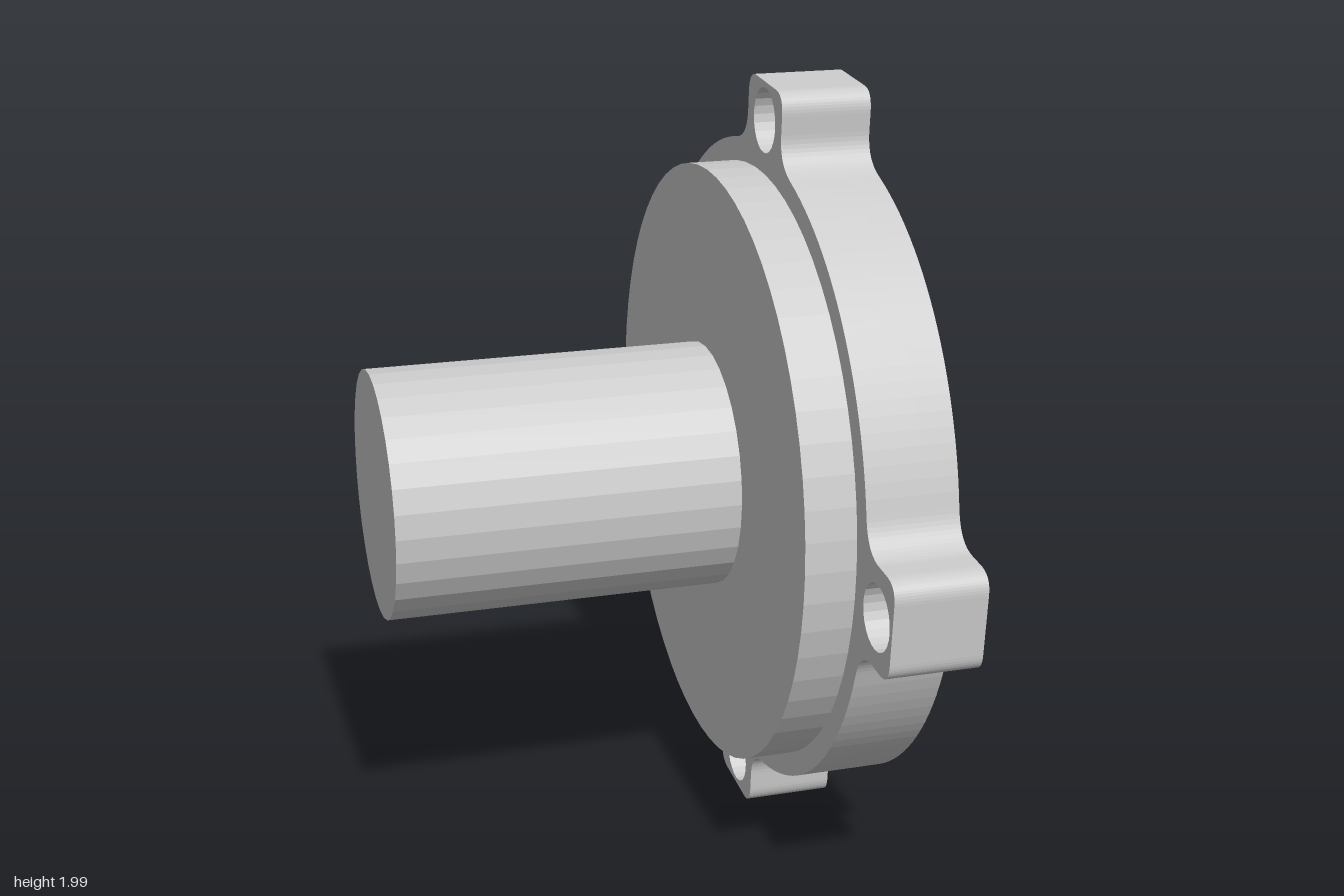
import * as THREE from 'three';

const mat = new THREE.MeshStandardMaterial({ color: 0xcccccc, flatShading: true, side: THREE.DoubleSide });
const RAD = Math.PI / 180;
const BACK = 0.29, FACE = 0.515, STEP = 0.43; // flange depth levels
const TILT = 4 * RAD;

function add(parent, name, geometry, x = 0, y = 0, z = 0) {
  const mesh = new THREE.Mesh(geometry, mat);
  mesh.name = name;
  mesh.position.set(x, y, z);
  parent.add(mesh);
  return mesh;
}

function extrude(shape, depth, curveSegments = 12) {
  return new THREE.ExtrudeGeometry(shape, { depth, bevelEnabled: false, curveSegments });
}

// Lathe turned so that its axis runs along local z
function lathe(points, segments = 32) {
  return new THREE.LatheGeometry(points.map(p => new THREE.Vector2(...p)), segments).rotateX(Math.PI / 2);
}

function rod(radius, from, to, segments) {
  return new THREE.CylinderGeometry(radius, radius, to - from, segments)
    .rotateX(Math.PI / 2).translate(0, 0, (from + to) / 2);
}

function circle(x, y, r) {
  const p = new THREE.Path();
  p.absarc(x, y, r, 0, Math.PI * 2);
  return p;
}

// Closed path from a radius rule r(angle)
function polar(Type, rule, n, cx = 0, cy = 0) {
  const pts = [];
  for (let i = 0; i < n; i++) {
    const a = i / n * Math.PI * 2, r = rule(a);
    pts.push(new THREE.Vector2(cx + r * Math.cos(a), cy + r * Math.sin(a)));
  }
  return new Type(pts);
}

const SCREWS = [[-0.13, 0.155], [0.1, 0.175], [0.19, -0.04], [-0.01, -0.2], [-0.185, -0.07]];

// Round pocket with a lobe around each screw
function pocketRadius(a) {
  let r = 0.25;
  for (const [x, y] of SCREWS) {
    const along = x * Math.cos(a) + y * Math.sin(a);
    const across = y * Math.cos(a) - x * Math.sin(a);
    if (along > 0 && Math.abs(across) < 0.1) r = Math.max(r, along + Math.sqrt(0.01 - across * across));
  }
  return r;
}

// Disc outline with four filleted ears and a small locating nub
function flangeShape(earHole) {
  const s = new THREE.Shape(), R = 0.83, spread = 0.25;
  for (let k = 0; k < 4; k++) {
    const a = TILT + k * Math.PI / 2;
    const at = (r, t) => [r * Math.cos(a) - t * Math.sin(a), r * Math.sin(a) + t * Math.cos(a)];
    const foot = [R * Math.cos(spread), R * Math.sin(spread)];
    if (k === 0) s.moveTo(...at(foot[0], -foot[1]));
    s.quadraticCurveTo(...at(0.824, -0.125), ...at(0.895, -0.125));
    s.lineTo(...at(0.94, -0.125));
    s.quadraticCurveTo(...at(0.994, -0.125), ...at(0.994, -0.075));
    s.lineTo(...at(0.994, 0.075));
    s.quadraticCurveTo(...at(0.994, 0.125), ...at(0.94, 0.125));
    s.lineTo(...at(0.895, 0.125));
    s.quadraticCurveTo(...at(0.824, 0.125), ...at(...foot));
    const from = a + spread, to = a + Math.PI / 2 - spread;
    if (k === 3) {
      s.absarc(0, 0, R, from, 299 * RAD);
      s.lineTo(0.425, -0.722);
      s.lineTo(0.455, -0.735);
      s.lineTo(0.525, -0.69);
      s.lineTo(0.52, -0.655);
      s.absarc(0, 0, R, 309 * RAD, to);
    } else s.absarc(0, 0, R, from, to);
    s.holes.push(circle(...at(0.9, 0), earHole));
  }
  s.holes.push(polar(THREE.Path, pocketRadius, 120));
  return s;
}

// Keyhole recess: round seat with a narrow slot running outwards
function keyhole() {
  const p = new THREE.Path(), w = 0.033, r = 0.07, b = Math.asin(w / r);
  const cx = -0.495, cy = -0.225, end = -0.675, ey = -0.237;
  p.absarc(cx, cy, r, -Math.PI + b, Math.PI - b);
  p.lineTo(end, ey + w);
  p.absarc(end, ey, w, Math.PI / 2, Math.PI * 1.5);
  return p;
}

// Domed screw with a six-lobed socket
function screw() {
  const g = new THREE.Group();
  add(g, 'screwDome', lathe([[0.09, 0], [0.09, 0.012], [0.083, 0.034], [0.069, 0.049], [0.05, 0.058]], 24));
  const cap = polar(THREE.Shape, () => 0.05, 24);
  cap.holes.push(polar(THREE.Path, a => 0.035 + 0.008 * Math.cos(6 * a), 36));
  add(g, 'screwSocket', extrude(cap, 0.03), 0, 0, 0.028);
  add(g, 'socketFloor', rod(0.049, 0, 0.03, 24));
  return g;
}

export function createModel() {
  const model = new THREE.Group();
  model.name = 'motorFlange';
  // Local frame: z points along the motor axis
  const body = new THREE.Group();
  body.name = 'assembly';
  body.rotation.y = Math.PI / 2;
  body.position.y = 1;
  model.add(body);

  add(body, 'motorCan', rod(0.315, -0.695, 0.165, 32));
  add(body, 'locatingBoss', rod(0.77, 0.165, BACK, 64));

  // Back layer with wide ear counterbores, front layer with the recesses
  add(body, 'flangeBack', extrude(flangeShape(0.08), STEP - BACK), 0, 0, BACK);
  const front = flangeShape(0.048);
  front.holes.push(circle(0.475, 0.04, 0.032), keyhole());
  add(body, 'flangeFront', extrude(front, FACE - STEP), 0, 0, STEP);

  SCREWS.forEach(([x, y], i) => {
    const s = screw();
    s.name = 'screw' + (i + 1);
    s.position.set(x, y, BACK);
    s.rotation.z = i * 0.4;
    body.add(s);
  });

  // Connector in the keyhole: frame with a square window
  const frame = new THREE.Shape();
  frame.moveTo(-0.06, -0.045).lineTo(0.06, -0.045).lineTo(0.06, 0.045).lineTo(-0.06, 0.045);
  const opening = new THREE.Path();
  opening.moveTo(-0.03, -0.03).lineTo(0.03, -0.03).lineTo(0.03, 0.03).lineTo(-0.03, 0.03);
  frame.holes.push(opening);
  add(body, 'connector', extrude(frame, 0.09), -0.49, -0.225, STEP).rotation.z = TILT;
  add(body, 'connectorPin', new THREE.BoxGeometry(0.045, 0.02, 0.06), -0.49, -0.225, STEP + 0.03).rotation.z = TILT;

  // Raised rectangular plate
  add(body, 'raisedPlate', new THREE.BoxGeometry(0.318, 0.155, 0.06), -0.333, -0.531, 0.525).rotation.z = 4.5 * RAD;

  // Hollow post with a hex socket screw inside
  const post = new THREE.Group();
  post.name = 'post';
  post.position.set(0.04, -0.6, 0);
  body.add(post);
  add(post, 'postSleeve', lathe([[0.115, FACE], [0.115, 0.675], [0.108, 0.69], [0.073, 0.69], [0.073, 0.64], [0, 0.64]]));
  const head = polar(THREE.Shape, () => 0.057, 24);
  head.holes.push(polar(THREE.Path, () => 0.037, 6));
  add(post, 'postScrew', extrude(head, 0.04), 0, 0, 0.64);

  return model;
}
